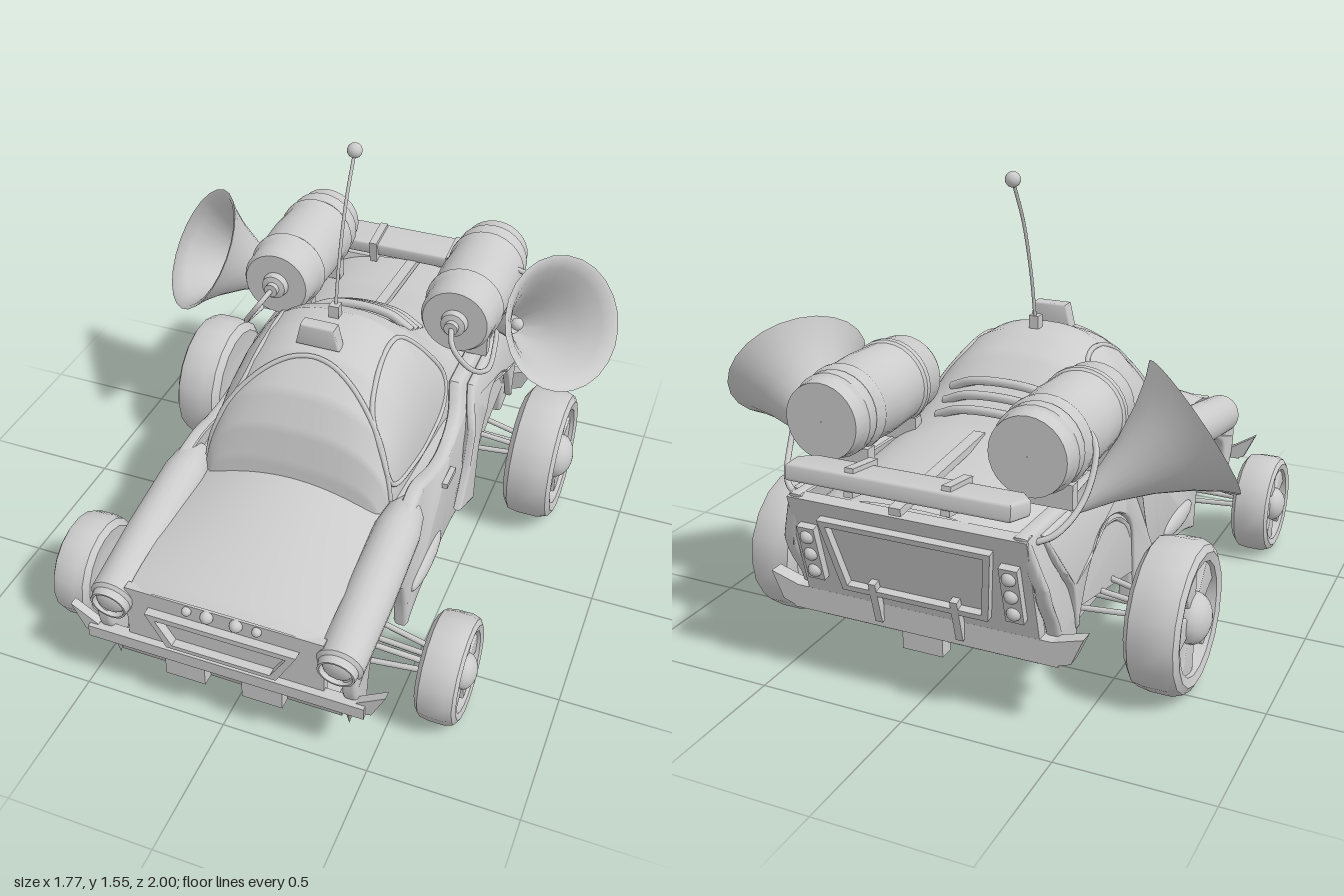
import * as THREE from 'three';
import { toCreasedNormals } from 'three/addons/utils/BufferGeometryUtils.js';
import { ParametricGeometry } from 'three/addons/geometries/ParametricGeometry.js';

const material = new THREE.MeshStandardMaterial({ color: 0xcccccc, side: THREE.DoubleSide });
const V = (x, y, z) => new THREE.Vector3(x, y, z);
const V2 = (a) => a.map(([x, y]) => new THREE.Vector2(x, y));
const UP = V(0, 1, 0);

function add(parent, name, geo, x = 0, y = 0, z = 0, rx = 0, ry = 0, rz = 0) {
  const m = new THREE.Mesh(geo, material);
  m.name = name;
  m.position.set(x, y, z);
  m.rotation.set(rx, ry, rz);
  parent.add(m);
  return m;
}
const box = (w, h, d) => new THREE.BoxGeometry(w, h, d);
const ball = (r) => new THREE.SphereGeometry(r, 16, 12);
const tube = (pts, r, n = 24, closed = false) =>
  new THREE.TubeGeometry(new THREE.CatmullRomCurve3(pts.map((p) => V(...p)), closed), n, r, 8, closed);
const lathe = (pts, n) => toCreasedNormals(new THREE.LatheGeometry(V2(pts), n), 0.6);
const extrude = (shape, depth, bevel = 0) => toCreasedNormals(new THREE.ExtrudeGeometry(shape, {
  depth: depth - 2 * bevel, bevelEnabled: bevel > 0, bevelSize: bevel, bevelThickness: bevel,
  bevelOffset: -bevel, bevelSegments: 3, curveSegments: 8 }), 0.6).translate(0, 0, bevel - depth / 2);

// Extrudes a (z, y) outline across x and leans its upper part towards the cabin
function sideExtrude(shape, depth, bevel, side) {
  const geo = extrude(shape, depth, bevel).rotateY(-Math.PI / 2), p = geo.attributes.position;
  for (let i = 0; i < p.count; i++) p.setX(i, p.getX(i) - side * 0.3 * Math.max(0, p.getY(i) - 0.5));
  return toCreasedNormals(geo, 0.6);
}

function rod(parent, name, a, b, r) {
  const d = V(...b).sub(V(...a));
  const m = add(parent, name, new THREE.CylinderGeometry(r, r, d.length(), 8));
  m.position.copy(V(...a)).addScaledVector(d, 0.5);
  m.quaternion.setFromUnitVectors(UP, d.normalize());
}

// Cabin sections from windscreen to tail: z, half width, top height
const CABIN = [[0.41, 0.28, 0.53], [0.4, 0.31, 0.62], [0.37, 0.335, 0.74], [0.31, 0.345, 0.85], [0.2, 0.35, 0.94],
  [0.08, 0.355, 0.985], [-0.04, 0.36, 0.985], [-0.14, 0.365, 0.94], [-0.25, 0.38, 0.85], [-0.4, 0.4, 0.76],
  [-0.6, 0.42, 0.71], [-0.92, 0.41, 0.68]];
const SILL = 0.48, N = 2.5;
function cabinAt(z) {
  let i = 0;
  while (i < CABIN.length - 2 && CABIN[i + 1][0] > z) i++;
  const a = CABIN[i], b = CABIN[i + 1], t = (z - a[0]) / (b[0] - a[0]);
  return [a[1] + (b[1] - a[1]) * t, a[2] + (b[2] - a[2]) * t];
}
function cabinPoint(z, angle) {
  const [w, top] = cabinAt(z), c = Math.cos(angle), s = Math.max(0, Math.sin(angle));
  return [Math.sign(c) * Math.abs(c) ** (2 / N) * w, SILL + (top - SILL) * s ** (2 / N), z];
}
function cabinX(z, y) {
  const [w, top] = cabinAt(z);
  return w * Math.max(0, 1 - (Math.max(0, y - SILL) / (top - SILL)) ** N) ** (1 / N);
}

function wheel(side, z, r, width) {
  const g = new THREE.Group(), ri = r * 0.74;
  g.name = r > 0.2 ? 'rearWheel' : 'frontWheel';
  g.position.set(side * 0.585, r, z);
  g.rotation.z = -side * Math.PI / 2;
  add(g, 'tyre', lathe([[0.001, 0.02], [r * 0.85, 0], [r * 0.97, width * 0.12], [r, width * 0.35], [r, width * 0.75],
    [r * 0.95, width * 0.93], [r * 0.86, width], [ri, width * 0.96], [ri * 0.95, width * 0.6]], 18));
  add(g, 'rimStep', new THREE.TorusGeometry(ri * 0.85, r * 0.04, 6, 24), 0, width * 0.5, 0, Math.PI / 2);
  add(g, 'rimDisc', new THREE.CylinderGeometry(ri, ri, width * 0.35, 18), 0, width * 0.22, 0);
  const spoke = extrude(new THREE.Shape(V2([[r * 0.2, -r * 0.12], [ri * 1.04, -r * 0.25], [ri * 1.04, r * 0.25], [r * 0.2, r * 0.12]])), width * 0.2, 0.005).rotateX(-Math.PI / 2);
  for (let i = 0; i < 5; i++) add(g, 'spoke', spoke, 0, width * 0.78, 0, 0, Math.PI / 2 + i * Math.PI * 0.4, 0);
  add(g, 'hub', ball(r * 0.34), 0, width * 0.85, 0).scale.y = 0.7;
  return g;
}

function sidePanel(side) {
  const s = new THREE.Shape();
  s.moveTo(0.97, 0.4);
  s.splineThru(V2([[0.965, 0.28], [0.9, 0.16]]));
  s.lineTo(0.86, 0.18);
  s.splineThru(V2([[0.83, 0.31], [0.75, 0.37], [0.65, 0.39], [0.54, 0.35], [0.49, 0.24], [0.47, 0.11]]));
  s.splineThru(V2([[0.33, 0.15], [0.15, 0.17], [-0.02, 0.17], [-0.22, 0.14]]));
  s.splineThru(V2([[-0.24, 0.36], [-0.33, 0.47], [-0.45, 0.5], [-0.57, 0.47], [-0.66, 0.38], [-0.7, 0.2]]));
  s.lineTo(-0.8, 0.22);
  s.splineThru(V2([[-0.84, 0.34], [-0.91, 0.47], [-0.95, 0.67]]));
  s.lineTo(-0.22, 0.66);
  s.splineThru(V2([[-0.13, 0.575], [0, 0.54], [0.12, 0.545], [0.28, 0.585], [0.4, 0.57]]));
  return sideExtrude(s, 0.05, 0.015, side);
}

function rearFender(side) {
  const s = new THREE.Shape();
  s.moveTo(-0.02, 0.24);
  s.splineThru(V2([[-0.1, 0.36], [-0.17, 0.54], [-0.25, 0.64]]));
  s.lineTo(-0.87, 0.65);
  s.splineThru(V2([[-0.8, 0.5], [-0.74, 0.42], [-0.71, 0.28]]));
  s.splineThru(V2([[-0.64, 0.42], [-0.56, 0.5], [-0.45, 0.53], [-0.33, 0.5], [-0.24, 0.4], [-0.21, 0.15]]));
  return sideExtrude(s, 0.03, 0.01, side);
}

function horn(side) {
  const g = new THREE.Group(), n = V(side * 0.675, 0.51, 0.537).normalize();
  g.name = 'horn';
  g.position.set(side * 0.43, 0.66, -0.635);
  g.quaternion.setFromUnitVectors(UP, n);
  add(g, 'bell', lathe([[0.018, -0.04], [0.03, 0], [0.055, 0.09], [0.1, 0.2], [0.155, 0.3], [0.205, 0.37], [0.238, 0.405],
    [0.243, 0.41], [0.228, 0.407], [0.195, 0.375], [0.145, 0.3], [0.09, 0.2], [0.035, 0.09], [0.001, 0.08]], 24));
  add(g, 'throatBall', ball(0.024), 0, 0.12, 0);
  return g;
}

function barrel(side) {
  const g = new THREE.Group();
  g.name = 'barrel';
  g.position.set(side * 0.345, 0.865, -0.83);
  add(g, 'drum', lathe([[0.001, 0], [0.125, 0], [0.13, 0.05], [0.138, 0.06], [0.138, 0.1], [0.132, 0.11], [0.145, 0.13], [0.145, 0.145],
    [0.138, 0.16], [0.143, 0.27], [0.138, 0.4], [0.145, 0.41], [0.145, 0.43], [0.135, 0.445], [0.132, 0.52], [0.12, 0.54],
    [0.05, 0.54], [0.045, 0.565], [0.025, 0.57], [0.025, 0.59], [0.001, 0.59]], 28)).rotation.x = Math.PI / 2;
  for (const z of [0.12, 0.42]) add(g, 'cradle', box(0.2, 0.08, 0.04), 0, -0.15, z);
  return g;
}

export function createModel() {
  const car = new THREE.Group();

  // Cabin, tail deck and bonnet; the cockpit is open underneath
  const path = (u) => {
    const k = Math.min(u * (CABIN.length - 1), CABIN.length - 1.0001), i = Math.floor(k);
    return CABIN[i][0] + (CABIN[i + 1][0] - CABIN[i][0]) * (k - i);
  };
  add(car, 'cabin', new ParametricGeometry((u, v, p) => p.set(...cabinPoint(path(v), u * Math.PI)), 32, 44));
  add(car, 'bonnet', new ParametricGeometry((u, v, p) => {
    const x = (u - 0.5) * 0.66, z = 0.97 - v * 0.6, e = (x / 0.33) ** 2;
    p.set(x, 0.47 + 0.118 * Math.sqrt(v + 0.03) - e * (0.03 + 0.05 * v), z - e * 0.02);
  }, 20, 14));
  add(car, 'rearBody', box(0.68, 0.36, 0.46), 0, 0.32, -0.48);
  add(car, 'frontFloor', box(0.72, 0.03, 0.4), 0, 0.16, 0.73);
  add(car, 'firewall', box(0.74, 0.32, 0.03), 0, 0.33, 0.5, 0.15);

  // Window and windscreen trim
  const arc = [];
  for (let i = 0; i <= 24; i++) {
    const a = i / 24 * Math.PI;
    arc.push(cabinPoint(0.19 + 0.16 * Math.abs(Math.cos(a)) ** 1.3, a));
  }
  add(car, 'windscreenFrame', tube(arc, 0.009, 60));
  const pane = [[0.325, 0.6], [0.32, 0.7], [0.26, 0.82], [0.16, 0.895], [0.02, 0.93], [-0.07, 0.91], [-0.15, 0.81], [-0.2, 0.69],
    [-0.15, 0.6], [0, 0.555], [0.14, 0.555]];

  // Nose, grille and front bumper
  add(car, 'nosePanel', box(0.68, 0.22, 0.03), 0, 0.36, 0.945);
  const trapezoid = (a, b, y0, y1) => V2([[-b, y0], [b, y0], [a, y1], [-a, y1]]);
  const grille = new THREE.Shape(trapezoid(0.26, 0.19, 0.285, 0.41));
  grille.holes.push(new THREE.Path(trapezoid(0.225, 0.17, 0.3, 0.39)));
  add(car, 'grilleFrame', extrude(grille, 0.04), 0, 0, 0.97);
  for (const x of [-0.12, -0.05, 0.05, 0.12]) add(car, 'noseLamp', ball(Math.abs(x) > 0.1 ? 0.016 : 0.022), x, 0.45, 0.965);
  add(car, 'frontBumper', box(0.96, 0.045, 0.04), 0, 0.245, 0.965);
  add(car, 'bumperLip', box(0.78, 0.07, 0.03), 0, 0.18, 0.93, 0.35);

  // Tail panel, lamps, rear bumper and wing
  const tail = new THREE.Group();
  tail.name = 'tail';
  tail.position.set(0, 0.47, -0.885);
  tail.rotation.x = -0.25;
  car.add(tail);
  add(tail, 'tailPanel', box(0.8, 0.4, 0.04));
  const frame = new THREE.Shape(trapezoid(0.29, 0.25, -0.13, 0.13));
  frame.holes.push(new THREE.Path(trapezoid(0.265, 0.23, -0.11, 0.11)));
  add(tail, 'tailFrame', extrude(frame, 0.03), 0, 0.02, -0.03);
  add(car, 'undertail', box(0.76, 0.14, 0.1), 0, 0.27, -0.77);
  add(car, 'rearBumper', box(0.92, 0.08, 0.05), 0, 0.27, -0.84);
  add(car, 'towPlate', box(0.14, 0.09, 0.05), 0, 0.21, -0.83);
  add(car, 'rearWing', extrude(new THREE.Shape(V2([[-0.35, 0], [0.35, 0], [0.39, 0.05], [0.37, 0.14], [-0.37, 0.14], [-0.39, 0.05]])), 0.055, 0.01)
    .rotateX(-Math.PI / 2), 0, 0.74, -0.855, 0.14);
  add(car, 'spine', box(0.04, 0.025, 0.55), 0, 0.72, -0.72, -0.08);

  // Louvres, roof lamp and aerial
  for (let i = 0; i < 3; i++) {
    const z = -0.27 - i * 0.055, y = cabinAt(z)[1] + 0.02;
    add(car, 'louvre', tube([[-0.2, y - 0.04, z + 0.02], [-0.1, y, z], [0.1, y, z], [0.2, y - 0.04, z + 0.02]], 0.016));
  }
  add(car, 'roofLamp', extrude(new THREE.Shape(trapezoid(0.06, 0.078, 0.96, 1.04)), 0.05, 0.006), 0, 0, 0.135);
  add(car, 'aerialBase', box(0.035, 0.05, 0.035), 0, 1.005, -0.01);
  add(car, 'aerial', tube([[0, 1, -0.01], [0, 1.18, -0.045], [0, 1.37, -0.105], [0, 1.52, -0.185]], 0.006));
  add(car, 'aerialBall', ball(0.026), 0, 1.525, -0.185);

  for (const s of [1, -1]) {
    // Body sides; the left rear fender stands out further
    add(car, 'sidePanel', sidePanel(s), s * 0.425, 0, 0);
    add(car, 'rearFender', rearFender(s), s > 0 ? 0.47 : -0.445, 0, 0);
    add(car, 'sillShelf', box(0.08, 0.03, 1.3), s * 0.375, 0.51, -0.26);
    add(car, 'windowFrame', tube(pane.map(([z, y]) => [s * cabinX(z, y), y, z]), 0.009, 60, true));
    add(car, 'doorHandle', box(0.02, 0.02, 0.1), s * 0.455, 0.455, 0.06);
    add(car, 'sillScoop', ball(1), s * 0.445, 0.235, 0.26).scale.set(0.025, 0.04, 0.16);

    // Front fender pod with headlamp
    const pod = new THREE.Group();
    pod.name = 'frontFender';
    pod.position.set(s * 0.39, 0.395, 0.99);
    pod.rotation.x = -Math.PI / 2 + 0.18;
    car.add(pod);
    add(pod, 'fenderPod', lathe([[0.001, 0.02], [0.052, 0.02], [0.055, 0], [0.062, 0], [0.066, 0.025], [0.078, 0.035], [0.083, 0.3],
      [0.079, 0.57], [0.065, 0.65], [0.035, 0.7], [0.001, 0.715]], 20));
    add(pod, 'headlamp', ball(0.05), 0, 0.02, 0).scale.y = 0.4;

    // Bumper ends and details
    add(car, 'bumperEnd', extrude(new THREE.Shape(V2([[0.46, 0.225], [0.5, 0.235], [0.545, 0.33], [0.45, 0.27]].map(([x, y]) => [x * s, y]))), 0.03), 0, 0, 0.955);
    add(car, 'rearBumperEnd', extrude(new THREE.Shape(V2([[0.44, 0.23], [0.5, 0.25], [0.54, 0.34], [0.44, 0.31]].map(([x, y]) => [x * s, y]))), 0.05), 0, 0, -0.84);
    add(car, 'frontOverrider', box(0.14, 0.09, 0.05), s * 0.135, 0.195, 0.955);
    add(car, 'rearOverrider', box(0.025, 0.15, 0.05), s * 0.14, 0.33, -0.87, -0.25);
    add(car, 'wingBracket', box(0.03, 0.09, 0.14), s * 0.16, 0.745, -0.91, 0.14);
    add(car, 'skidSpike', new THREE.ConeGeometry(0.025, 0.09, 4), s * 0.41, 0.15, 0.92, Math.PI);
    add(tail, 'tailLampStrip', box(0.06, 0.2, 0.03), s * 0.34, 0.01, -0.03);
    for (const y of [-0.055, 0.01, 0.075]) add(tail, 'tailLamp', ball(0.024), s * 0.34, y, -0.04);

    // Wheels and suspension arms
    car.add(wheel(s, 0.65, 0.184, 0.14), wheel(s, -0.45, 0.25, 0.18));
    for (const [z, y] of [[0.65, 0.18], [-0.45, 0.25]]) for (const dz of [-0.06, 0.06]) {
      rod(car, 'lowerArm', [s * 0.3, y - 0.02, z + dz], [s * 0.61, y - 0.01, z + dz * 0.5], 0.01);
      rod(car, 'upperArm', [s * 0.3, y + 0.08, z + dz], [s * 0.61, y + 0.025, z + dz * 0.5], 0.01);
    }

    // Barrels, horns and hoses
    car.add(barrel(s), horn(s));
    add(car, 'frontHose', tube([[s * 0.345, 0.865, -0.25], [s * 0.37, 0.83, -0.19], [s * 0.43, 0.74, -0.21], [s * 0.47, 0.67, -0.32],
      [s * 0.45, 0.66, -0.5], [s * 0.42, 0.66, -0.64]], 0.01, 40));
    add(car, 'rearHose', tube([[s * 0.44, 0.92, -0.64], [s * 0.5, 0.87, -0.69], [s * 0.5, 0.74, -0.78], [s * 0.45, 0.66, -0.87],
      [s * 0.38, 0.63, -0.9]], 0.01, 32));
  }
  return car;
}
